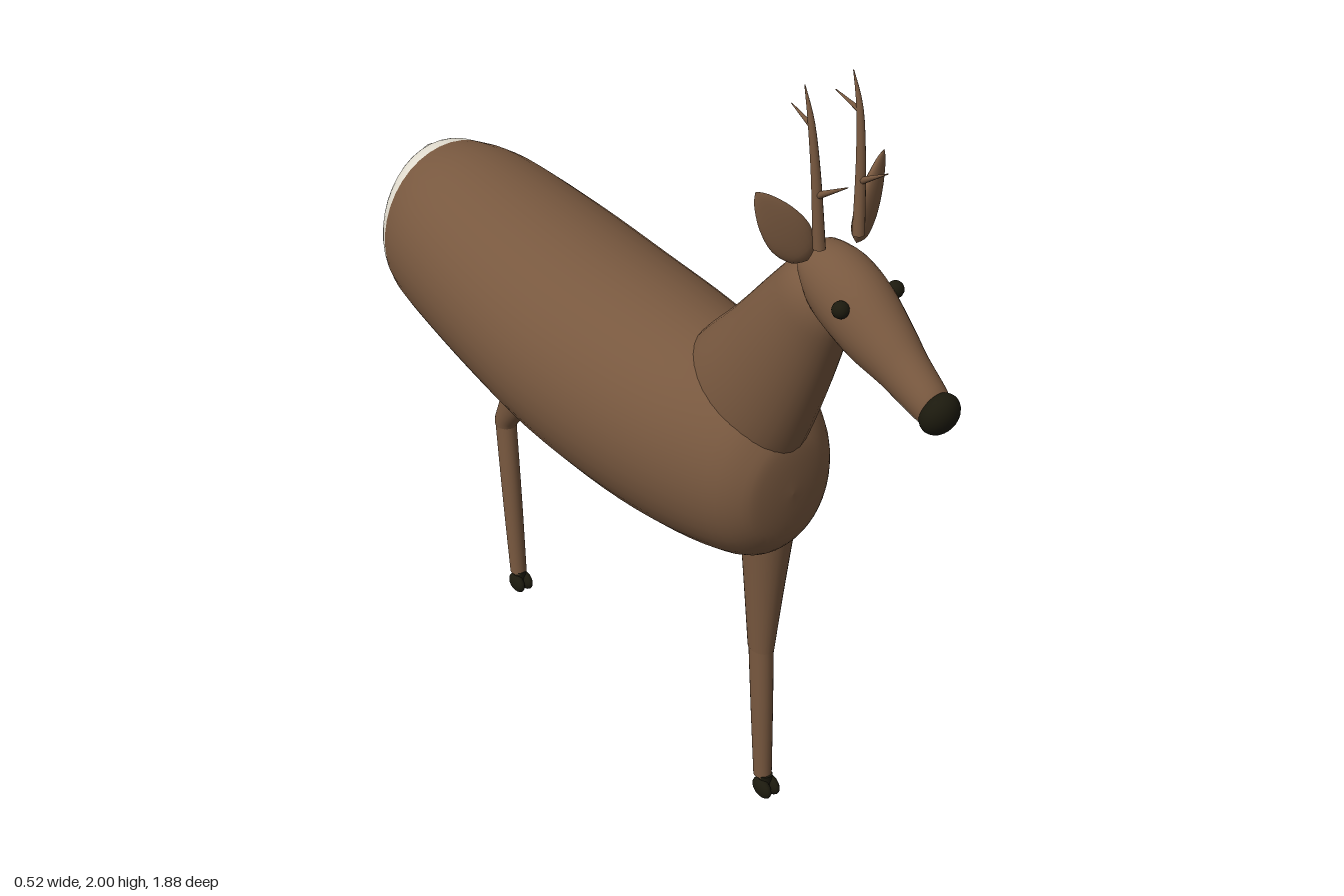
import * as THREE from 'three';

const mat = (name, color, side = THREE.FrontSide) => {
  const m = new THREE.MeshStandardMaterial({ color, side });
  m.name = name;
  return m;
};

export function createModel() {
  const model = new THREE.Group();
  model.name = 'deer';
  const brown = mat('brown coat', 0x78583f);
  const white = mat('white fur', 0xe2ddd0);
  const black = mat('hoof black', 0x1c1a0e);

  const add = (name, geo, material, parent = model) => {
    const m = new THREE.Mesh(geo, material);
    m.name = name;
    parent.add(m);
    return m;
  };

  // Smooth skin over elliptical sections [x, y, z, halfWidth, halfDepth];
  // tilt turns the depth axis from +z (0) to +y (PI / 2).
  function loft(sections, tilt, { steps = 4, n = 32, pick = () => 0 } = {}) {
    const rows = [];
    const last = sections.length - 1;
    for (let i = 0; i < last; i++) {
      const [a, b, c, d] = [-1, 0, 1, 2].map(k => sections[Math.min(last, Math.max(0, i + k))]);
      for (let s = 0; s < steps; s++) {
        const t = s / steps;
        rows.push(b.map((v, k) => 0.5 * (2 * v + (c[k] - a[k]) * t
          + (2 * a[k] - 5 * v + 4 * c[k] - d[k]) * t * t
          + (3 * v - a[k] - 3 * c[k] + d[k]) * t * t * t)));
      }
    }
    rows.push(sections[last]);
    const pos = [], faces = [[], []];
    const ring = ([x, y, z, w, h]) => {
      for (let j = 0; j < n; j++) {
        const a = j / n * Math.PI * 2, k = h * Math.sin(a);
        pos.push(x + w * Math.cos(a), y + k * Math.sin(tilt), z + k * Math.cos(tilt));
      }
    };
    rows.forEach(ring);
    for (let i = 0; i < rows.length - 1; i++) for (let j = 0; j < n; j++) {
      const p = i * n + j, q = i * n + (j + 1) % n;
      faces[pick(i / steps, j / n)].push(p, q, p + n, q, q + n, p + n);
    }
    // Flat end caps with their own corners
    [0, rows.length - 1].forEach((r, end) => {
      const o = pos.length / 3;
      ring(rows[r]);
      pos.push(...rows[r].slice(0, 3));
      for (let j = 0; j < n; j++) {
        const p = o + j, q = o + (j + 1) % n;
        faces[pick(end ? last - 0.01 : 0, j / n)].push(o + n, ...(end ? [p, q] : [q, p]));
      }
    });
    const g = new THREE.BufferGeometry();
    g.setAttribute('position', new THREE.Float32BufferAttribute(pos, 3));
    g.setIndex([...faces[0], ...faces[1]]);
    g.addGroup(0, faces[0].length, 0);
    g.addGroup(faces[0].length, faces[1].length, 1);
    g.computeVertexNormals();
    return g;
  }
  const UP = Math.PI / 2;

  // Torso with white rump
  add('body', loft([
    [0, 1.135, -0.935, 0.1, 0.15], [0, 1.14, -0.89, 0.165, 0.205], [0, 1.142, -0.83, 0.2, 0.222],
    [0, 1.142, -0.7, 0.23, 0.236], [0, 1.115, -0.45, 0.255, 0.245], [0, 1.085, -0.2, 0.262, 0.255],
    [0, 1.07, 0.05, 0.25, 0.258], [0, 1.062, 0.25, 0.222, 0.245], [0, 1.045, 0.4, 0.17, 0.205],
    [0, 1.035, 0.465, 0.12, 0.145], [0, 1.035, 0.485, 0.07, 0.09], [0, 1.035, 0.492, 0, 0],
  ], UP, { n: 40, pick: i => (i < 2 ? 1 : 0) }), [brown, white]);
  const tail = add('tail', new THREE.SphereGeometry(1, 20, 14), white);
  tail.scale.set(0.035, 0.038, 0.02);
  tail.position.set(0, 1.29, -0.92);

  // Neck, crown to chest
  add('neck', loft([
    [0, 1.59, 0.58, 0, 0], [0, 1.577, 0.57, 0.045, 0.055], [0, 1.545, 0.55, 0.07, 0.088],
    [0, 1.48, 0.51, 0.082, 0.107], [0, 1.35, 0.43, 0.099, 0.137], [0, 1.22, 0.34, 0.115, 0.167],
    [0, 1.1, 0.26, 0.12, 0.17],
  ], -0.59), brown);

  // Head, nape to muzzle, with a white chin
  const head = new THREE.Group();
  head.name = 'head';
  model.add(head);
  add('skull', loft([
    [0, 1.617, 0.547, 0.06, 0.043], [0, 1.592, 0.58, 0.07, 0.073], [0, 1.574, 0.63, 0.076, 0.086],
    [0, 1.543, 0.7, 0.071, 0.087], [0, 1.502, 0.78, 0.056, 0.068], [0, 1.475, 0.825, 0.047, 0.059],
    [0, 1.442, 0.89, 0.038, 0.045], [0, 1.436, 0.91, 0.025, 0.03],
  ], UP, { pick: (i, a) => (i >= 5 && a > 0.58 && a < 0.92 ? 1 : 0) }), [brown, white], head);
  const nose = add('nose', new THREE.SphereGeometry(1, 24, 16), black, head);
  nose.scale.set(0.043, 0.047, 0.034);
  nose.rotation.x = 0.35;
  nose.position.set(0, 1.434, 0.906);

  const tine = (parent, from, to, r) => {
    const a = new THREE.Vector3(...from), b = new THREE.Vector3(...to);
    const m = add('antlerTine', new THREE.CylinderGeometry(0.001, r, a.distanceTo(b), 10), brown, parent);
    m.position.copy(a).add(b).multiplyScalar(0.5);
    m.quaternion.setFromUnitVectors(new THREE.Vector3(0, 1, 0), b.sub(a).normalize());
  };

  for (const s of [1, -1]) {
    const side = s > 0 ? 'left' : 'right';
    add(side + 'Eye', new THREE.SphereGeometry(0.018, 16, 12), black, head).position.set(s * 0.07, 1.587, 0.69);

    // Leaf-shaped ear
    const ear = add(side + 'Ear', loft([
      [0, 0.193, 0, 0, 0], [0, 0.17, 0, 0.018, 0.007], [0, 0.12, 0, 0.038, 0.014],
      [0, 0.065, 0, 0.045, 0.017], [0, 0.02, 0, 0.03, 0.014], [0, 0, 0, 0, 0],
    ], 0, { n: 20 }), brown, head);
    ear.position.set(s * 0.062, 1.645, 0.58);
    ear.rotation.set(0, s * 0.4, -s * 0.6);

    // Antler beam with a forward and a rear tine
    const antler = new THREE.Group();
    antler.name = side + 'Antler';
    head.add(antler);
    add('antlerBeam', loft([
      [s * 0.06, 2, 0.55, 0.001, 0.001], [s * 0.06, 1.93, 0.573, 0.007, 0.007],
      [s * 0.056, 1.82, 0.588, 0.01, 0.01], [s * 0.05, 1.675, 0.598, 0.013, 0.013],
    ], 0, { n: 12 }), brown, antler);
    tine(antler, [s * 0.055, 1.785, 0.59], [s * 0.05, 1.832, 0.672], 0.008);
    tine(antler, [s * 0.06, 1.925, 0.574], [s * 0.055, 1.947, 0.508], 0.006);
  }

  // Legs stand on the left side only: thigh, shank and cloven hoof
  function leg(name, upper, lower, hoofX, hoofZ) {
    const g = new THREE.Group();
    g.name = name;
    model.add(g);
    add('upperLeg', loft(upper, 0, { n: 24 }), brown, g);
    add('lowerLeg', loft(lower, 0, { n: 24 }), brown, g);
    for (const s of [1, -1]) {
      const toe = add('hoof', new THREE.SphereGeometry(1, 16, 12), black, g);
      toe.scale.set(0.015, 0.025, 0.032);
      toe.position.set(hoofX + s * 0.013, 0.03, hoofZ);
      toe.rotation.x = 0.15;
    }
    add('pastern', new THREE.CylinderGeometry(0.018, 0.016, 0.04, 16), black, g)
      .position.set(hoofX, 0.045, hoofZ - 0.005);
  }
  leg('frontLeg', [
    [0.132, 0.957, 0.268, 0, 0], [0.132, 0.945, 0.265, 0.035, 0.036], [0.132, 0.91, 0.26, 0.058, 0.06],
    [0.132, 0.86, 0.256, 0.068, 0.074], [0.132, 0.78, 0.253, 0.061, 0.067], [0.13, 0.6, 0.25, 0.044, 0.05],
    [0.128, 0.43, 0.248, 0.028, 0.036],
  ], [
    [0.128, 0.44, 0.248, 0.027, 0.034], [0.128, 0.25, 0.258, 0.025, 0.029], [0.128, 0.06, 0.268, 0.022, 0.023],
  ], 0.128, 0.283);
  leg('hindLeg', [
    [0.145, 1.057, -0.68, 0, 0], [0.145, 1.045, -0.68, 0.04, 0.04], [0.147, 1.0, -0.675, 0.068, 0.073],
    [0.147, 0.92, -0.66, 0.075, 0.108], [0.145, 0.85, -0.675, 0.069, 0.1], [0.141, 0.74, -0.708, 0.055, 0.078],
    [0.135, 0.6, -0.785, 0.038, 0.055], [0.132, 0.525, -0.832, 0.029, 0.037], [0.132, 0.5, -0.836, 0.024, 0.03],
  ], [
    [0.132, 0.515, -0.836, 0.026, 0.033], [0.13, 0.28, -0.815, 0.025, 0.028], [0.128, 0.06, -0.795, 0.022, 0.022],
  ], 0.128, -0.785);

  return model;
}
